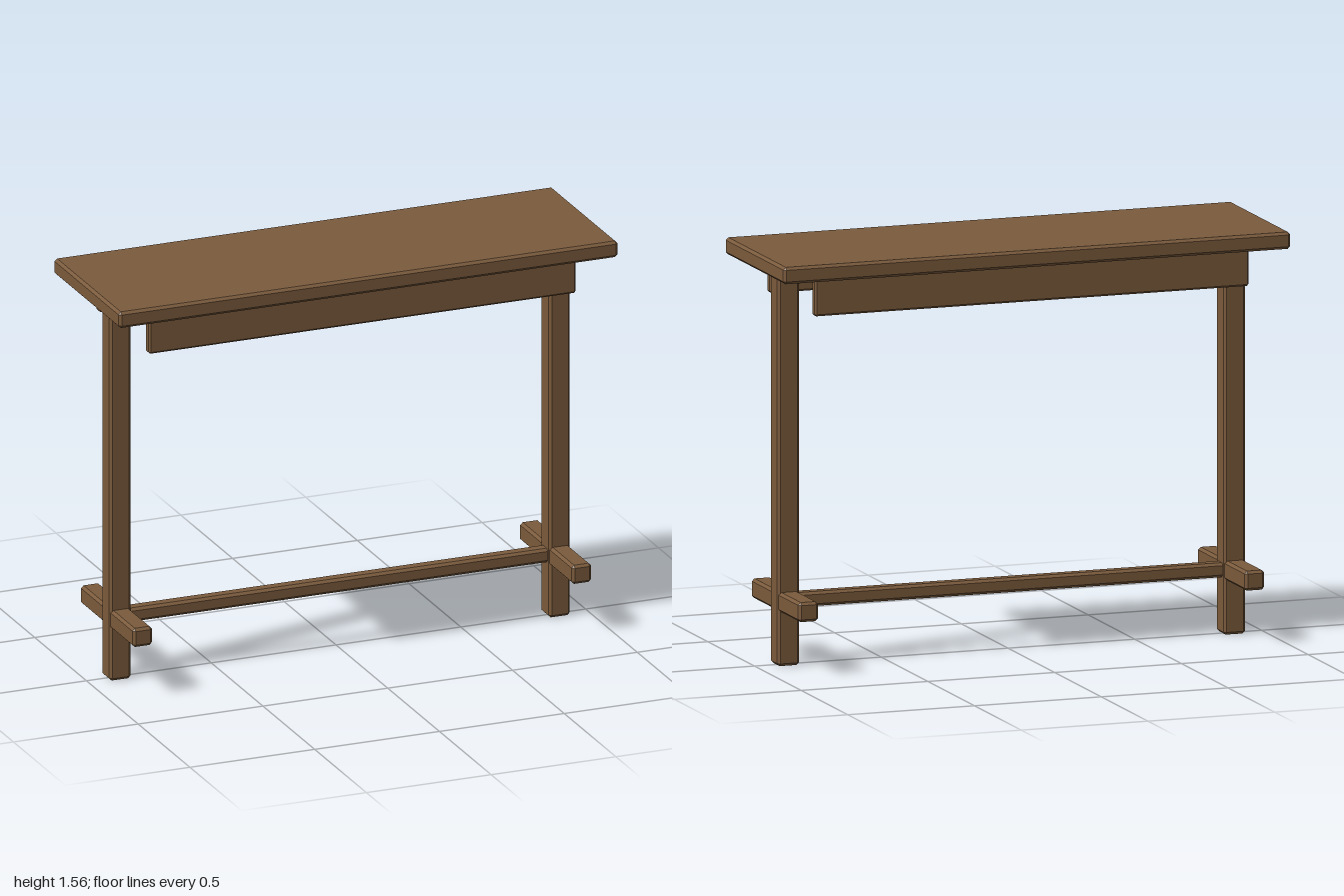
import * as THREE from 'three';
import { ConvexGeometry } from 'three/addons/geometries/ConvexGeometry.js';

// Box with a single flat chamfer on every edge
function chamferBox(w, h, d, bevel) {
  const half = [w / 2, h / 2, d / 2];
  const points = [];
  for (const sx of [-1, 1]) for (const sy of [-1, 1]) for (const sz of [-1, 1]) {
    for (let axis = 0; axis < 3; axis++) {
      const [x, y, z] = half.map((v, i) => (i === axis ? v : v - bevel));
      points.push(new THREE.Vector3(sx * x, sy * y, sz * z));
    }
  }
  return new ConvexGeometry(points);
}

export function createModel() {
  const model = new THREE.Group();
  model.name = 'trestleTable';
  const wood = new THREE.MeshStandardMaterial({ color: 0x7b5b3c });
  wood.name = 'brown wood';

  function beam(name, size, position, bevel = 0.01) {
    const mesh = new THREE.Mesh(chamferBox(...size, bevel), wood);
    mesh.name = name;
    mesh.position.set(...position);
    model.add(mesh);
  }

  // Table top
  beam('tableTop', [2, 0.064, 0.636], [0, 1.528, 0]);

  for (const [side, s] of [['left', 1], ['right', -1]]) {
    // Upright leg and the cross bar through it
    beam(side + 'Leg', [0.086, 1.49, 0.086], [s * 0.88, 0.745, 0]);
    beam(side + 'CrossBar', [0.078, 0.074, 0.516], [s * 0.88, 0.242, 0]);
  }

  // Aprons hanging under the long edges
  for (const [name, s] of [['frontApron', 1], ['backApron', -1]]) {
    beam(name, [1.712, 0.138, 0.036], [0, 1.424, s * 0.24], 0.007);
  }

  // Stretcher joining the legs
  beam('stretcher', [1.76, 0.055, 0.055], [0, 0.242, 0]);

  return model;
}
